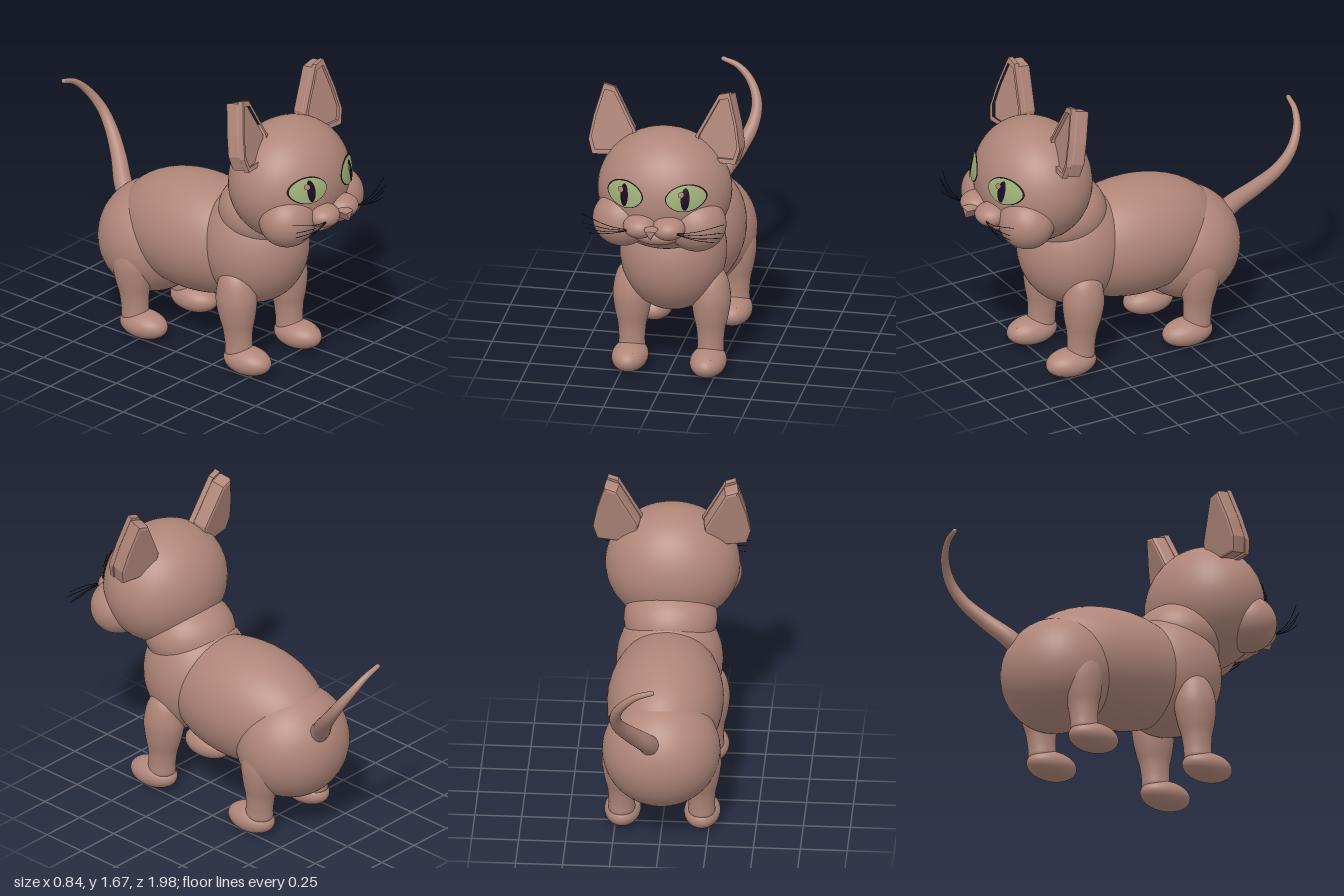
import * as THREE from 'three';

const mat = (name, color, side = THREE.FrontSide) => {
  const m = new THREE.MeshStandardMaterial({ color, side });
  m.name = name;
  return m;
};

export function createModel() {
  const cat = new THREE.Group();
  cat.name = 'cat';
  const skin = mat('skin', 0xb08679);
  const green = mat('eyeGreen', 0x9fb078, THREE.DoubleSide);
  const dark = mat('pupilDark', 0x1c0a22, THREE.DoubleSide);
  const black = mat('lineBlack', 0x161212, THREE.DoubleSide);

  const add = (name, geometry, material = skin, parent = cat) => {
    const mesh = new THREE.Mesh(geometry, material);
    mesh.name = name;
    parent.add(mesh);
    return mesh;
  };
  // Smooth ellipsoid from centre and radii
  const blob = (name, [x, y, z], [rx, ry, rz]) => {
    const g = new THREE.SphereGeometry(1, 48, 32);
    g.scale(rx, ry, rz);
    g.translate(x, y, z);
    return add(name, g);
  };
  const vec = (p) => new THREE.Vector3(...p);
  // Thin strand through a few points
  const strand = (name, pts, r, material) =>
    add(name, new THREE.TubeGeometry(new THREE.CatmullRomCurve3(pts.map(vec)), 10, r, 5), material);

  // Body
  blob('haunch', [0, 0.5, -0.35], [0.315, 0.31, 0.295]);
  blob('torso', [0, 0.62, -0.03], [0.31, 0.325, 0.5]);
  blob('chest', [0, 0.66, 0.34], [0.285, 0.33, 0.295]);
  blob('neck', [0, 0.88, 0.4], [0.25, 0.2, 0.24]);

  // Head
  const hc = [0, 1.115, 0.575], hr = [0.36, 0.333, 0.305];
  blob('head', hc, hr);
  blob('chin', [0, 0.935, 0.79], [0.13, 0.055, 0.085]);

  // Patch that follows the curve of the face
  const facePatch = (name, cx, cy, w, h, lift, material, pinch = 0) => {
    const g = new THREE.RingGeometry(0.001, 1, 40, 6);
    const p = g.attributes.position;
    for (let i = 0; i < p.count; i++) {
      const r = Math.hypot(p.getX(i), p.getY(i));
      const s = p.getY(i) / r;
      const x = cx + p.getX(i) * w;
      const y = cy + p.getY(i) * h * Math.pow(Math.abs(s), pinch);
      const u = (x - hc[0]) / hr[0], v = (y - hc[1]) / hr[1];
      p.setXYZ(i, x, y, hc[2] + hr[2] * Math.sqrt(Math.max(0, 1 - u * u - v * v)) + lift);
    }
    g.computeVertexNormals();
    return add(name, g, material);
  };

  // Nose
  const noseShape = new THREE.Shape([
    new THREE.Vector2(-0.028, 1.028), new THREE.Vector2(0, 0.985), new THREE.Vector2(0.028, 1.028)]);
  const nose = new THREE.ExtrudeGeometry(noseShape, {
    depth: 0.05, bevelThickness: 0.012, bevelSize: 0.006, bevelSegments: 2 });
  nose.translate(0, 0, 0.925);
  add('nose', nose);

  // Ear outline, measured from the ear's base point
  const earPoints = [[-0.12, 0], [0.11, 0], [0.133, 0.08], [0.11, 0.21], [0.062, 0.385], [0.005, 0.37], [-0.12, 0.13]];
  const outline = (s, k) => earPoints.map(([x, y]) =>
    new THREE.Vector2(s * (0.02 + (x - 0.02) * k), 0.17 + (y - 0.17) * k));

  // Whisker tips: x, y, z
  const tips = [[0.385, 1.07, 0.91], [0.38, 1.03, 0.93], [0.37, 0.995, 0.92], [0.34, 0.975, 0.94]];

  // Leg profile: radius, height
  const legProfile = [[0.001, 0.07], [0.072, 0.1], [0.076, 0.16], [0.083, 0.24], [0.1, 0.31], [0.113, 0.39],
    [0.112, 0.45], [0.095, 0.525], [0.06, 0.575], [0.001, 0.6]].map(([x, y]) => new THREE.Vector2(x, y));
  const legCurve = new THREE.SplineCurve(legProfile).getPoints(30);
  legCurve.forEach((p) => { p.x = Math.max(p.x, 0.0005); });

  for (const s of [1, -1]) {
    const side = s > 0 ? 'left' : 'right';

    // Cheek and muzzle
    blob(side + 'Cheek', [s * 0.2, 0.985, 0.725], [0.16, 0.15, 0.15]);
    blob(side + 'Muzzle', [s * 0.078, 1.008, 0.87], [0.09, 0.062, 0.09]);

    // Eye: rim, iris, slit pupil and glint
    const ex = s * 0.165;
    facePatch(side + 'EyeRim', ex, 1.175, 0.106, 0.074, 0.008, black, 0.15);
    facePatch(side + 'Iris', ex, 1.175, 0.1, 0.069, 0.012, green, 0.15);
    facePatch(side + 'Pupil', ex, 1.175, 0.022, 0.06, 0.02, dark);
    facePatch(side + 'EyeGlint', ex - 0.022, 1.203, 0.015, 0.015, 0.024, skin);

    // Ear: raised rim over a bevelled back slab
    const ear = new THREE.Group();
    ear.name = side + 'Ear';
    ear.position.set(s * 0.28, 1.287, 0.585);
    ear.rotation.set(-0.2, s * -0.14, 0);
    cat.add(ear);
    const rimShape = new THREE.Shape(outline(s, 1));
    rimShape.holes.push(new THREE.Path(outline(s, 0.85)));
    const rim = new THREE.ExtrudeGeometry(rimShape, { depth: 0.03, bevelEnabled: false });
    rim.translate(0, 0, -0.015);
    add(side + 'EarRim', rim, skin, ear);
    const slab = new THREE.ExtrudeGeometry(new THREE.Shape(outline(s, 0.86)), {
      depth: 0.05, bevelThickness: 0.02, bevelSize: 0.015, bevelSegments: 2 });
    slab.translate(0, 0, -0.075);
    add(side + 'EarBack', slab, skin, ear);

    // Whiskers
    for (const [x, y, z] of tips) {
      strand(side + 'Whisker', [[s * 0.12, 1.005, 0.935], [s * 0.24, (y + 1.005) / 2 - 0.008, 0.945], [s * x, y, z]],
        0.0018, black);
    }

    // Legs and paws
    for (const [end, dz] of [['Front', 0], ['Hind', -0.71]]) {
      const leg = add(side + end + 'Leg', new THREE.LatheGeometry(legCurve, 32));
      leg.scale.x = 0.92;
      leg.position.set(s * 0.213, 0, 0.41 + dz);
      leg.rotation.x = -0.06;
      blob(side + end + 'Paw', [s * 0.212, 0.077, 0.46 + dz], [0.097, 0.077, 0.145]);
      // Toe creases
      for (const t of [-0.03, 0.03]) {
        strand(side + end + 'ToeLine', [[s * 0.212 + t, 0.14, 0.515 + dz], [s * 0.212 + t, 0.123, 0.562 + dz],
          [s * 0.212 + t, 0.1, 0.587 + dz]], 0.003, black);
      }
    }
  }

  // Tail: tube narrowed towards the tip
  const path = new THREE.CatmullRomCurve3([[0.03, 0.6, -0.53], [0.06, 0.68, -0.61], [0.14, 0.79, -0.71],
    [0.2, 0.9, -0.81], [0.21, 1.0, -0.885], [0.165, 1.1, -0.945], [0.09, 1.17, -0.973], [0.01, 1.2, -0.98]].map(vec));
  const segs = 48, sides = 20;
  const tail = new THREE.TubeGeometry(path, segs, 1, sides);
  const tp = tail.attributes.position;
  const v = new THREE.Vector3();
  for (let i = 0; i < tp.count; i++) {
    const t = Math.floor(i / (sides + 1)) / segs;
    const c = path.getPointAt(t);
    v.fromBufferAttribute(tp, i).sub(c).multiplyScalar(0.057 - 0.044 * t).add(c);
    tp.setXYZ(i, v.x, v.y, v.z);
  }
  add('tail', tail);
  blob('tailTip', [0.01, 1.2, -0.98], [0.013, 0.013, 0.013]);

  return cat;
}
